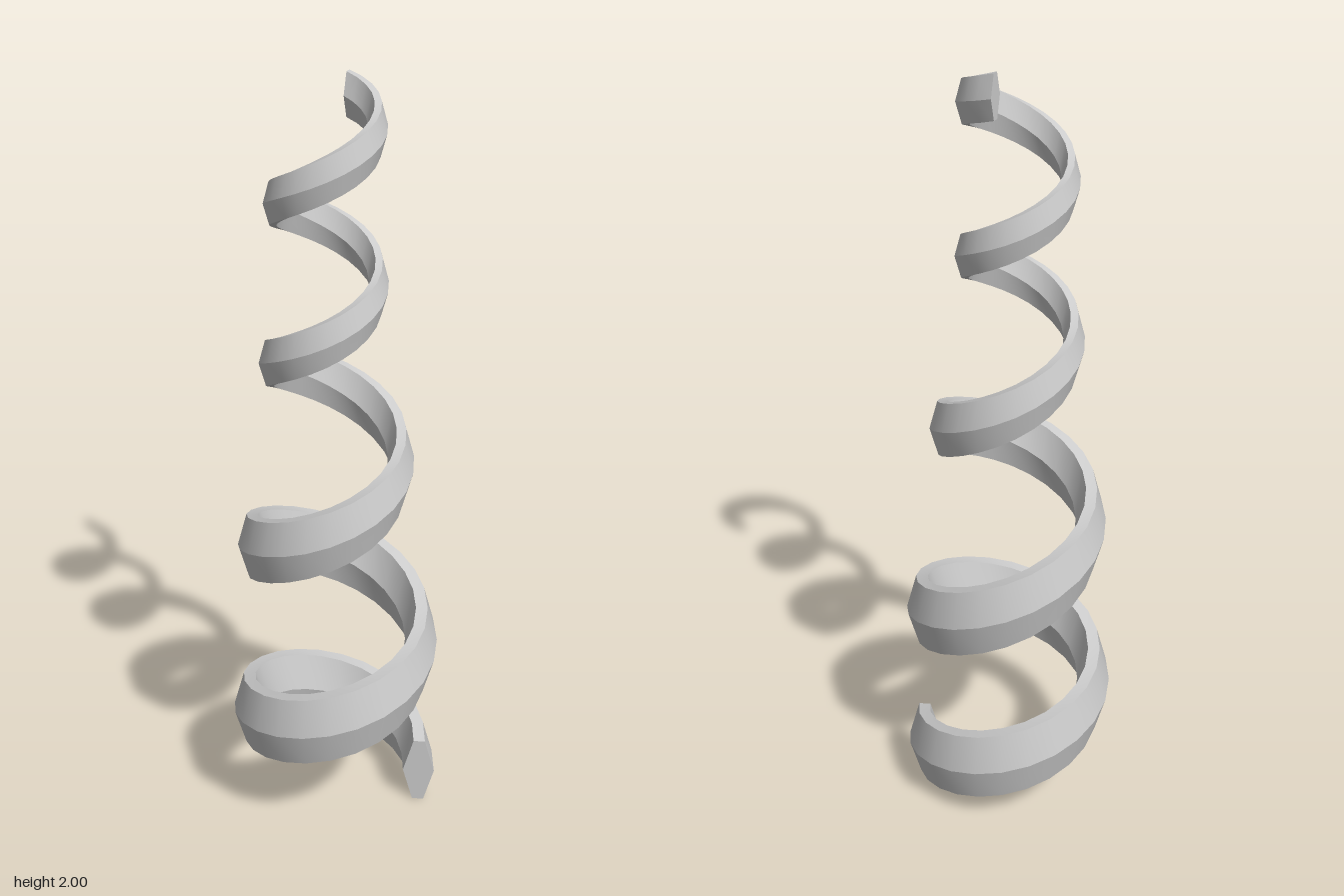
import * as THREE from 'three';

const STEPS = 100;
const TURNS = 4.19;

// Path data every half turn: (axis offset in x, height, outer radius)
const path = new THREE.CatmullRomCurve3([
  [0, 0.1, 0.272], [0, 0.307, 0.273], [0, 0.53, 0.267], [-0.005, 0.81, 0.245], [-0.012, 1.07, 0.207],
  [-0.02, 1.32, 0.165], [-0.024, 1.53, 0.149], [-0.025, 1.72, 0.141], [-0.025, 1.9, 0.142], [-0.025, 2.015, 0.142],
].map((p) => new THREE.Vector3(...p)), false, 'catmullrom');

// Tall hexagonal section (radial, up), relative to an outer radius of 1
const section = [[1, 0], [0.9, 0.368], [0.786, 0.368], [0.686, 0], [0.786, -0.368], [0.9, -0.368]];

// Corners of the section after a given step around the helix
function ring(i) {
  const t = (TURNS * i) / STEPS;
  const a = t * Math.PI * 2;
  const p = path.getPoint(t / 4.5);
  return section.map(([r, h]) => [
    p.x + p.z * r * Math.cos(a), p.y + p.z * h, -p.z * r * Math.sin(a),
  ]);
}

function springGeometry() {
  const rings = Array.from({ length: STEPS + 1 }, (_, i) => ring(i));
  const n = section.length;
  const positions = [];
  const index = [];

  // One strip per side: smooth along the coil, sharp at the section's corners
  for (let j = 0; j < n; j++) {
    const base = positions.length / 3;
    rings.forEach((r) => positions.push(...r[j], ...r[(j + 1) % n]));
    for (let i = 0; i < STEPS; i++) {
      const a = base + i * 2;
      index.push(a, a + 2, a + 1, a + 2, a + 3, a + 1);
    }
  }

  // Flat end caps
  for (const corners of [rings[0], [...rings[STEPS]].reverse()]) {
    const base = positions.length / 3;
    positions.push(...corners.flat());
    for (let j = 1; j < n - 1; j++) index.push(base, base + j, base + j + 1);
  }

  const geometry = new THREE.BufferGeometry();
  geometry.setAttribute('position', new THREE.Float32BufferAttribute(positions, 3));
  geometry.setIndex(index);
  geometry.computeVertexNormals();
  return geometry;
}

export function createModel() {
  const group = new THREE.Group();
  const coil = new THREE.Mesh(springGeometry(), new THREE.MeshStandardMaterial({ color: 0xcccccc }));
  coil.name = 'taperedCoil';
  group.add(coil);
  return group;
}
